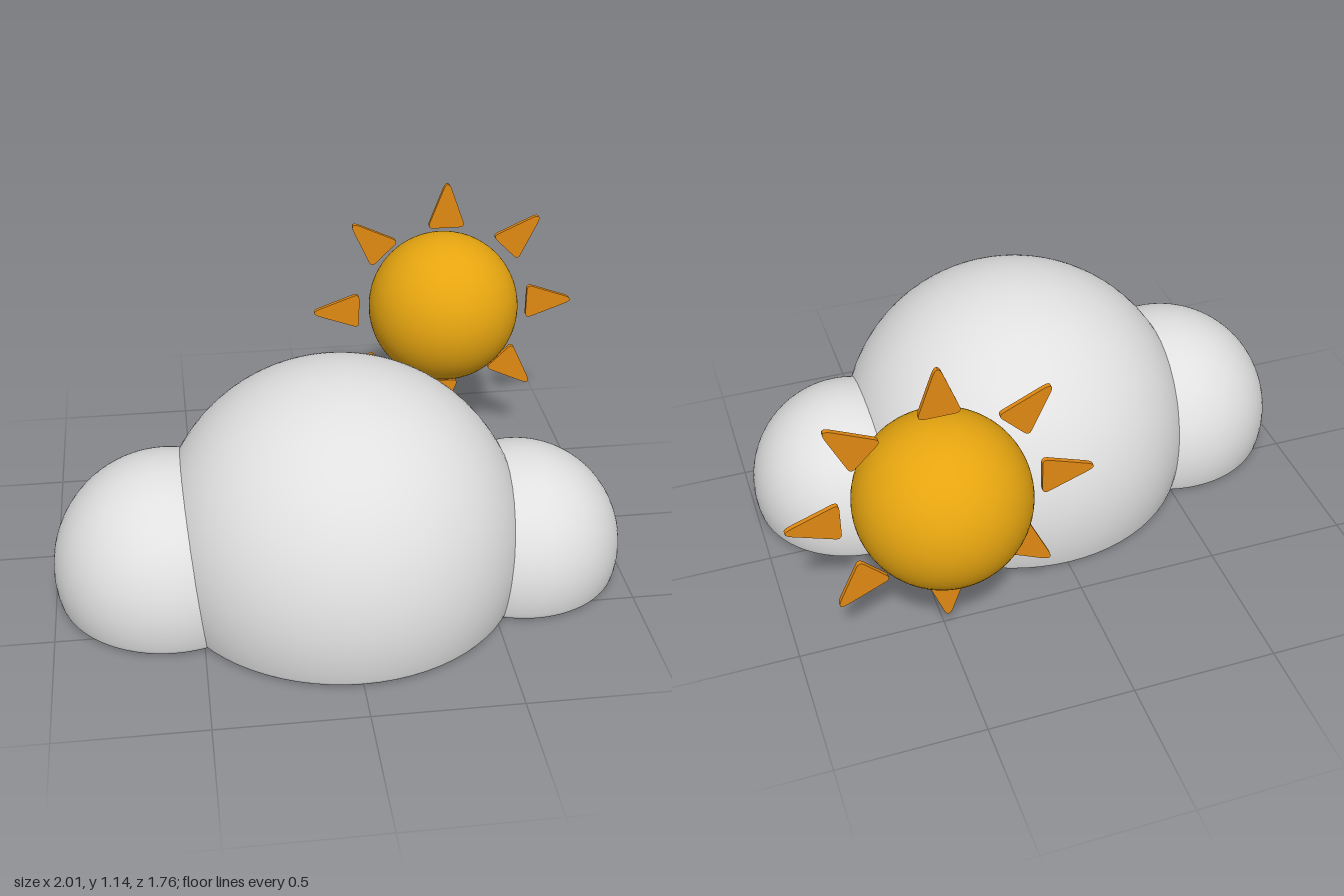
import * as THREE from 'three';

const cloudGrey = new THREE.MeshStandardMaterial({ color: 0xe0e0e0 });
const sunYellow = new THREE.MeshStandardMaterial({ color: 0xe6a510 });
const rayOrange = new THREE.MeshStandardMaterial({ color: 0xe08812 });
cloudGrey.name = 'cloudGrey';
sunYellow.name = 'sunYellow';
rayOrange.name = 'rayOrange';

function add(parent, name, geometry, material) {
  const mesh = new THREE.Mesh(geometry, material);
  mesh.name = name;
  parent.add(mesh);
  return mesh;
}

// Sphere cut flat at y = 0 with a small rounded rim
function puffGeometry(radius, centerY) {
  const fillet = 0.03;
  const fy = fillet; // fillet circle touches the floor and the sphere from inside
  const fx = Math.sqrt((radius - fillet) ** 2 - (centerY - fy) ** 2);
  const start = Math.atan2(fy - centerY, fx);
  const points = [];
  for (let i = 0; i <= 6; i++) {
    const a = -Math.PI / 2 + (start + Math.PI / 2) * (i / 6);
    points.push(new THREE.Vector2(fx + fillet * Math.cos(a), fy + fillet * Math.sin(a)));
  }
  for (let i = 1; i <= 40; i++) {
    const a = start + (Math.PI / 2 - start) * (i / 40);
    points.push(new THREE.Vector2(Math.max(0, radius * Math.cos(a)), centerY + radius * Math.sin(a)));
  }
  return { geometry: new THREE.LatheGeometry(points, 72), baseRadius: fx };
}

// Triangle with rounded corners, pointing along +y
function rayGeometry() {
  const corners = [[-0.072, 0.328, 0.024], [0.072, 0.328, 0.024], [0, 0.525, 0.05]]
    .map(([x, y, cut]) => ({ p: new THREE.Vector2(x, y), cut }));
  const shape = new THREE.Shape();
  corners.forEach(({ p, cut }, i) => {
    const toward = (q) => q.clone().sub(p).setLength(cut).add(p);
    const a = toward(corners[(i + 2) % 3].p);
    const b = toward(corners[(i + 1) % 3].p);
    if (i === 0) shape.moveTo(a.x, a.y);
    else shape.lineTo(a.x, a.y);
    shape.quadraticCurveTo(p.x, p.y, b.x, b.y);
  });
  shape.closePath();
  const depth = 0.016;
  return new THREE.ExtrudeGeometry(shape, { depth, bevelEnabled: false, curveSegments: 8 })
    .translate(0, 0, -depth / 2);
}

export function createModel() {
  const model = new THREE.Group();
  model.name = 'sunBehindCloud';

  // Cloud: three flat-bottomed puffs
  const cloud = new THREE.Group();
  cloud.name = 'cloud';
  cloud.position.z = 0.24;
  model.add(cloud);
  const puffs = [
    ['middlePuff', 0, 0.64, 0.177],
    ['rightPuff', -0.6, 0.4, 0.115],
    ['leftPuff', 0.635, 0.362, 0.104],
  ];
  for (const [name, x, radius, centerY] of puffs) {
    const { geometry, baseRadius } = puffGeometry(radius, centerY);
    add(cloud, name, geometry, cloudGrey).position.x = x;
    const base = new THREE.CircleGeometry(baseRadius, 72).rotateX(Math.PI / 2);
    add(cloud, name + 'Base', base, cloudGrey).position.x = x;
  }

  // Sun ball with eight flat rays around it
  const sun = new THREE.Group();
  sun.name = 'sun';
  sun.position.set(0.507, 0.635, -0.59);
  model.add(sun);
  add(sun, 'sunBall', new THREE.SphereGeometry(0.287, 64, 40), sunYellow);
  const ray = rayGeometry();
  for (let i = 0; i < 8; i++) {
    add(sun, 'sunRay' + (i + 1), ray, rayOrange).rotation.z = (i * Math.PI) / 4;
  }
  return model;
}
